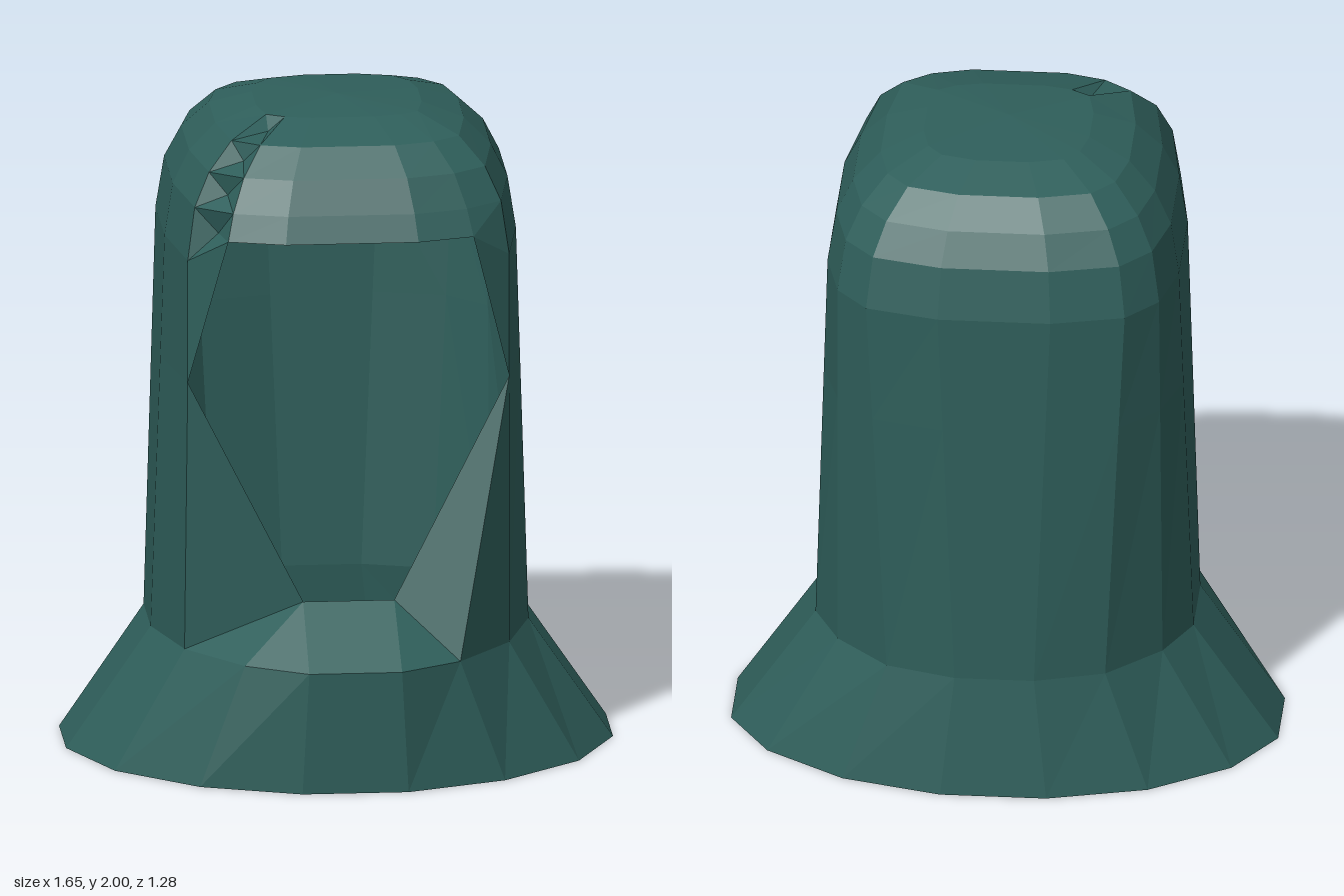
import * as THREE from 'three';

const material = new THREE.MeshStandardMaterial({
  color: 0x2f5f5b, flatShading: true, side: THREE.DoubleSide,
});

// Half outlines (x, z) from the front middle, round the left side, to the back middle
const HEM = [[.16, .64], [.46, .53], [.70, .325], [.825, .055], [.825, -.2], [.70, -.40], [.46, -.56], [.16, -.64]];
const NECK = [[.14, .645], [.325, .535], [.49, .325], [.57, .055], [.57, -.2], [.49, -.37], [.33, -.53], [.12, -.595]];
const HEAD = [[.20, .52], [.37, .47], [.485, .38], [.53, .08], [.53, -.25], [.485, -.44], [.39, -.55], [.17, -.605]];
const N = 16;

// Mirrors a half outline into a full ring of points
function ring(half, y) {
  const at = k => (typeof y === 'function' ? y(k) : y);
  return Array.from({ length: N }, (_, i) => {
    const k = i < 8 ? i : 15 - i;
    return new THREE.Vector3(i < 8 ? half[k][0] : -half[k][0], at(k), half[k][1]);
  });
}

// Joins two rings with quads for the columns from..to
function band(tris, lower, upper, from = 0, to = N) {
  for (let i = from; i < to; i++) {
    const j = (i + 1) % N;
    tris.push(lower[i], lower[j], upper[j], lower[i], upper[j], upper[i]);
  }
}

function mesh(name, tris) {
  const geometry = new THREE.BufferGeometry().setFromPoints(tris);
  geometry.computeVertexNormals();
  const m = new THREE.Mesh(geometry, material);
  m.name = name;
  return m;
}

export function createModel() {
  const group = new THREE.Group();
  group.name = 'hood';

  const hem = ring(HEM, 0);
  const neck = ring(NECK, .375);
  const brow = ring(HEAD, k => (k < 2 ? 1.68 : 1.6));
  // Middle ring follows the straight walls; its front columns mark the widest part of the opening
  const cheek = neck.map((p, i) => p.clone().lerp(brow[i], .69));
  cheek[2].set(.485, 1.22, .38);
  cheek[13].set(-.485, 1.22, .38);

  // Flared collar over the shoulders
  const collar = [];
  band(collar, hem, neck);
  group.add(mesh('collar', collar));

  // Side and back walls, open at the face
  const walls = [];
  band(walls, neck, cheek, 2, 13);
  band(walls, cheek, brow, 2, 13);
  group.add(mesh('walls', walls));

  // Panels framing the face opening and the chin lip
  const chinL = new THREE.Vector3(.135, .54, .42);
  const chinR = new THREE.Vector3(-.14, .54, .42);
  const frame = [
    neck[1], neck[2], cheek[2], neck[1], cheek[2], chinL,
    cheek[2], brow[2], brow[1],
    neck[13], chinR, cheek[13], neck[13], neck[14], chinR,
    cheek[13], brow[14], brow[13],
    neck[0], neck[1], chinL, neck[14], neck[15], chinR,
    neck[15], neck[0], chinL, neck[15], chinL, chinR,
  ];
  group.add(mesh('faceFrame', frame));

  // Crown: the head outline shrinks upward; [y, half width, front depth, back depth]
  const levels = [[1.76, .505, .49, .575], [1.86, .455, .445, .525], [1.94, .375, .36, .44], [1.985, .25, .19, .30]];
  const crown = [];
  let lower = brow;
  for (const [y, w, front, back] of levels) {
    const half = HEAD.map(([x, z]) => [x * w / .53, z > 0 ? z * front / .52 : z * back / .605]);
    const upper = ring(half, y);
    band(crown, lower, upper, 0, 13);
    band(crown, lower, upper, 14, N);
    // Small creases in the cloth at the right temple
    const [a, b, c, d] = [lower[13], lower[14], upper[14], upper[13]];
    const dent = a.clone().add(b).add(c).add(d).multiplyScalar(.25).add(new THREE.Vector3(.025, -.015, -.03));
    crown.push(a, b, dent, b, c, dent, c, d, dent, d, a, dent);
    lower = upper;
  }
  const top = new THREE.Vector3(0, 2, -.03);
  for (let i = 0; i < N; i++) crown.push(lower[i], lower[(i + 1) % N], top);
  group.add(mesh('crown', crown));

  return group;
}
